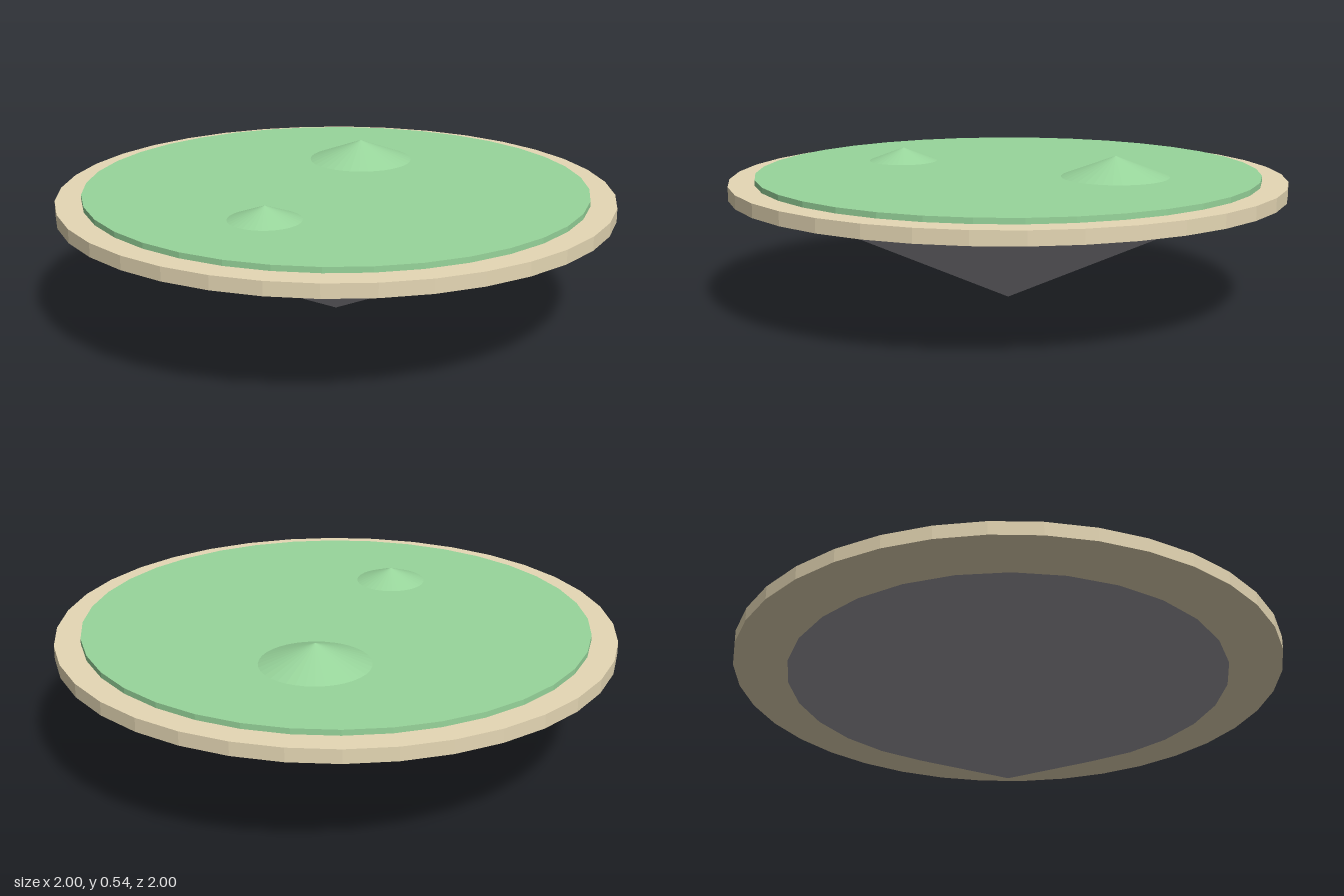
import * as THREE from 'three';

export function createModel() {
  const model = new THREE.Group();
  const flat = (name, color) => {
    const m = new THREE.MeshStandardMaterial({ color });
    m.name = name;
    return m;
  };
  const sand = flat('sand', 0xe6d8b5);
  const grass = flat('grass green', 0x98d59b);
  const rock = flat('rock grey', 0x9c9aa1);

  // Round tapered part between two heights, with one normal per facet
  const addRound = (name, material, rTop, rBottom, y0, y1, x = 0, z = 0, sides = 36) => {
    const indexed = new THREE.CylinderGeometry(rTop, rBottom, y1 - y0, sides);
    const geometry = indexed.toNonIndexed();
    geometry.computeVertexNormals();
    const mesh = new THREE.Mesh(geometry, material);
    mesh.name = name;
    mesh.position.set(x, (y0 + y1) / 2, z);
    model.add(mesh);
  };

  // Island slab with a raised lawn
  addRound('sandRim', sand, 1, 1, 0.398, 0.447);
  addRound('lawn', grass, 0.907, 0.907, 0.43, 0.467);

  // Hanging rock, a hair below the slab
  addRound('rockUnderside', rock, 0.807, 0, 0, 0.376, 0, 0, 28);

  // Two low hills, sunk slightly into the lawn
  addRound('largeHill', grass, 0, 0.203, 0.463, 0.541, 0.31, -0.25);
  addRound('smallHill', grass, 0, 0.138, 0.463, 0.516, -0.44, 0.185);

  return model;
}
